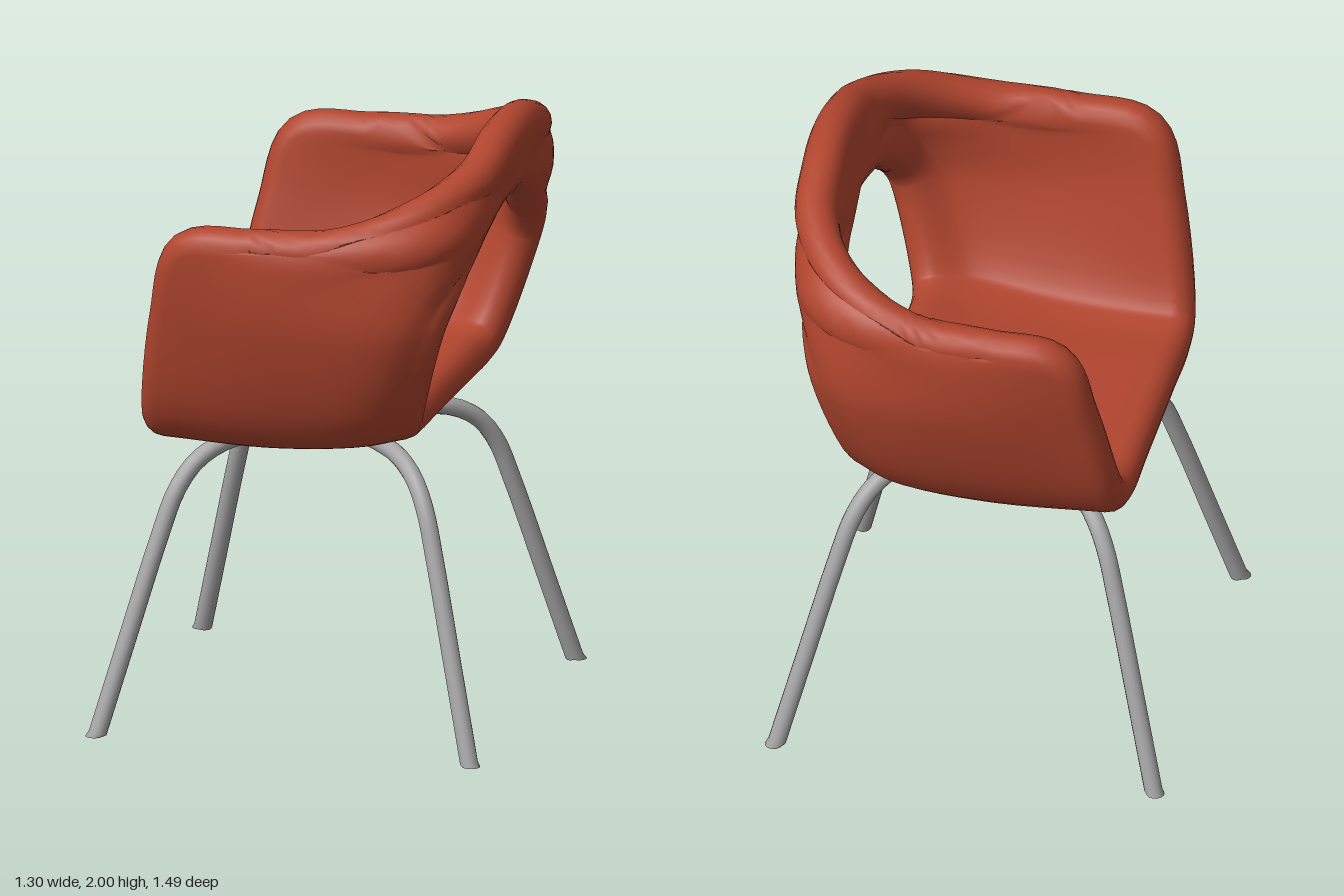
import * as THREE from 'three';

const red = new THREE.MeshStandardMaterial({ color: 0xb0452e });
red.name = 'red upholstery';
const grey = new THREE.MeshStandardMaterial({ color: 0xa6a6a6 });
grey.name = 'grey metal';

const V = (x, y, z) => new THREE.Vector3(x, y, z);
const HALF = 0.066; // half thickness of the padded shell

// Spines run from the back opening to the outer rim.
// Seat: one flat profile (x, y) repeated across the width
const seatProfile = [[0.335, 1.065], [0.2, 1.035], [-0.1, 1.008], [-0.435, 1.015]];
const seatSpines = [0, 0.2, 0.395].map(z => seatProfile.map(([x, y]) => V(x, y, z)));

// Arm: curved spines that wrap from the seat corner up to the backrest
const armSpines = [
  [[0.355, 1.105, 0.475], [0.23, 1.08, 0.52], [-0.05, 1.055, 0.52], [-0.43, 1.06, 0.5]],
  [[0.45, 1.42, 0.565], [0.34, 1.4, 0.635], [0, 1.4, 0.66], [-0.37, 1.42, 0.62]],
  [[0.485, 1.53, 0.51], [0.41, 1.53, 0.61], [0.08, 1.57, 0.677], [-0.3, 1.645, 0.665]],
  [[0.5, 1.6, 0.43], [0.47, 1.62, 0.55], [0.25, 1.64, 0.655], [-0.08, 1.67, 0.672]],
  [[0.515, 1.66, 0.35], [0.515, 1.68, 0.47], [0.43, 1.69, 0.595], [0.2, 1.69, 0.65]],
  [[0.525, 1.715, 0.25], [0.54, 1.735, 0.34], [0.52, 1.76, 0.44], [0.43, 1.775, 0.53]],
].map(spine => spine.map(p => V(...p)));

// Backrest: straight spines between the opening and the top rim
const backSpines = [
  [V(0.53, 1.75, 0.15), V(0.55, 1.855, 0.33)],
  [V(0.535, 1.77, 0.07), V(0.57, 1.918, 0.14)],
  [V(0.54, 1.776, 0), V(0.575, 1.935, 0)],
].map(([a, b]) => [0, 1, 2, 3].map(k => a.clone().lerp(b, k / 3)));

function buildShell() {
  const halfRing = [...seatSpines, ...armSpines, ...backSpines];
  const mirrored = halfRing.slice(1, -1).reverse().map(s => s.map(p => V(p.x, p.y, -p.z)));
  const ring = [...halfRing, ...mirrored];
  const rails = [0, 1, 2, 3].map(k =>
    new THREE.CatmullRomCurve3(ring.map(s => s[k]), true, 'centripetal'));
  const spineAt = u => new THREE.CatmullRomCurve3(rails.map(r => r.getPoint((u + 1) % 1)));

  const RING = ring.length * 6, FLAT = 16, CAP = 8, d = 0.002;
  // Cross-section loop: outer face, rim roll, inner face, opening roll
  const loop = [];
  for (let i = 0; i < FLAT; i++) loop.push([i / FLAT, 0]);
  for (let i = 0; i < CAP; i++) loop.push([1, Math.PI * i / CAP]);
  for (let i = 0; i < FLAT; i++) loop.push([1 - i / FLAT, Math.PI]);
  for (let i = 0; i < CAP; i++) loop.push([0, Math.PI * (1 + i / CAP)]);

  const pos = [], index = [], n = loop.length;
  for (let i = 0; i < RING; i++) {
    const u = i / RING;
    const here = spineAt(u), before = spineAt(u - d), after = spineAt(u + d);
    loop.forEach(([v, a], j) => {
      const along = after.getPoint(v).sub(before.getPoint(v)).normalize();
      const across = here.getPoint(Math.min(1, v + 0.02)).sub(here.getPoint(Math.max(0, v - 0.02)));
      const normal = along.clone().cross(across).normalize();
      const edge = normal.clone().cross(along);
      const p = here.getPoint(v)
        .addScaledVector(normal, HALF * Math.cos(a))
        .addScaledVector(edge, HALF * Math.sin(a));
      pos.push(p.x, p.y, p.z);
      const i2 = (i + 1) % RING, j2 = (j + 1) % n;
      const A = i * n + j, B = i2 * n + j, C = i2 * n + j2, D = i * n + j2;
      index.push(A, B, D, B, C, D);
    });
  }
  const geo = new THREE.BufferGeometry();
  geo.setAttribute('position', new THREE.Float32BufferAttribute(pos, 3));
  geo.setIndex(index);
  geo.computeVertexNormals();
  const shell = new THREE.Mesh(geo, red);
  shell.name = 'seatShell';
  return shell;
}

// One bent tube forms two diagonally opposite legs
function buildLegPair(side) {
  const R = 0.029;
  const half = [[0.622, -0.03], [0.54, 0.29], [0.455, 0.62], [0.41, 0.77], [0.36, 0.855], [0.29, 0.904], [0.22, 0.916]];
  const pts = [
    ...half.map(([h, y]) => V(-h, y, -h * side)),
    V(0, 0.916, 0),
    ...half.slice().reverse().map(([h, y]) => V(h, y, h * side)),
  ];
  const geo = new THREE.TubeGeometry(new THREE.CatmullRomCurve3(pts), 72, R, 14);
  // Trim the feet level with the floor
  const p = geo.attributes.position;
  for (let i = 0; i < p.count; i++) p.setY(i, Math.max(0, p.getY(i)));

  const group = new THREE.Group();
  group.name = side > 0 ? 'legPairA' : 'legPairB';
  const tube = new THREE.Mesh(geo, grey);
  tube.name = 'legTube';
  group.add(tube);
  for (const s of [-1, 1]) {
    const foot = new THREE.Mesh(new THREE.CircleGeometry(R, 14), grey);
    foot.name = 'footCap';
    foot.rotation.x = Math.PI / 2;
    foot.position.set(s * 0.615, 0.001, s * side * 0.615);
    group.add(foot);
  }
  return group;
}

export function createModel() {
  const chair = new THREE.Group();
  chair.name = 'armchair';
  chair.add(buildShell(), buildLegPair(1), buildLegPair(-1));
  return chair;
}
